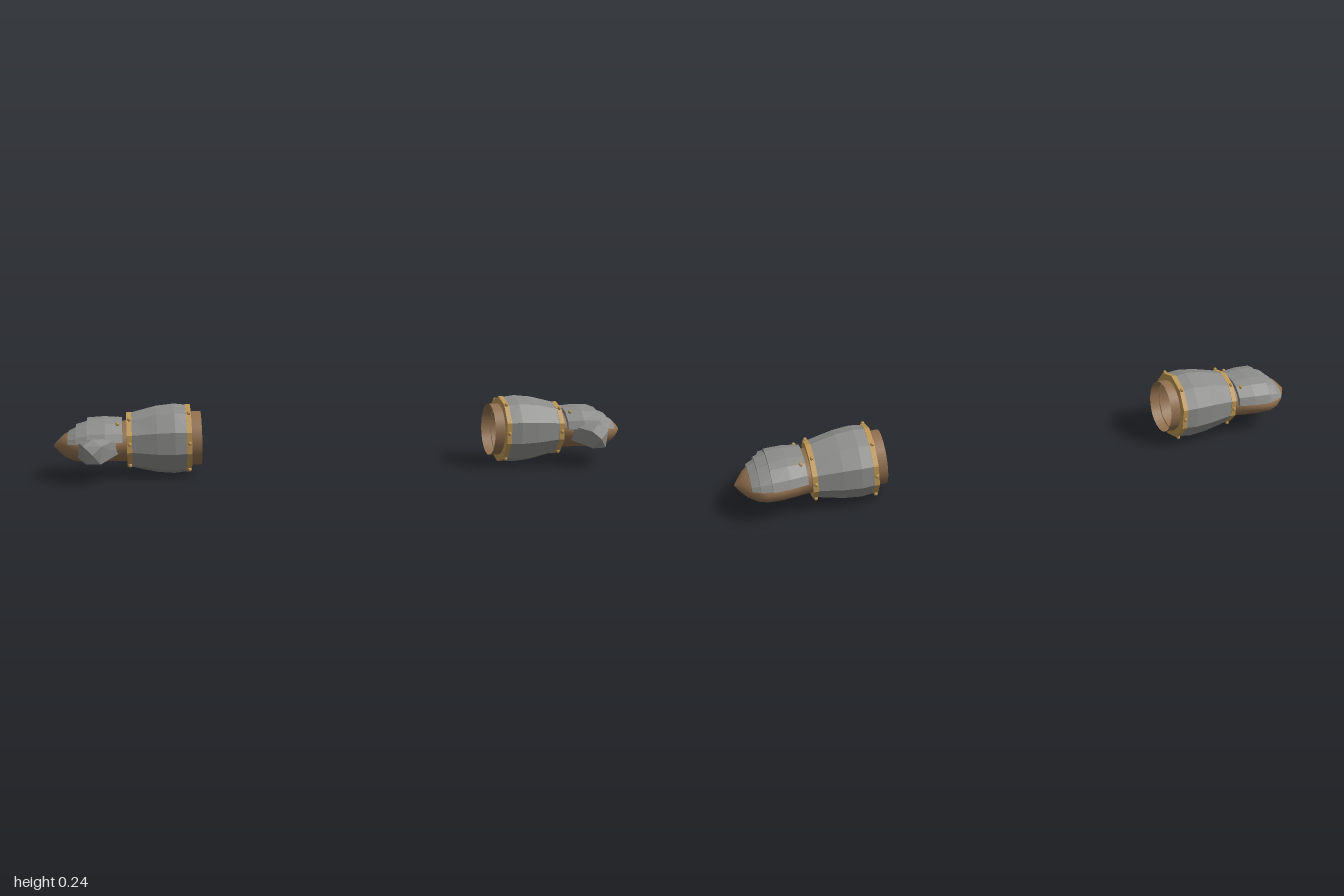
import * as THREE from 'three';
import { ConvexGeometry } from 'three/addons/geometries/ConvexGeometry.js';

const CZ = -0.022; // arm axis depth

// Skin closed rings (all the same length), optionally capped at both ends
function loft(rings, { smooth = false, caps = false } = {}) {
  const n = rings[0].length, pos = rings.flat(2), index = [];
  for (let i = 0; i < rings.length - 1; i++) {
    for (let j = 0; j < n; j++) {
      const a = i * n + j, b = i * n + (j + 1) % n;
      index.push(a, b, a + n, b, b + n, a + n);
    }
  }
  if (caps) {
    for (const [row, flip] of [[0, true], [rings.length - 1, false]]) {
      const c = pos.length / 3;
      for (let k = 0; k < 3; k++) pos.push(rings[row].reduce((s, p) => s + p[k], 0) / n);
      for (let j = 0; j < n; j++) {
        const a = row * n + j, b = row * n + (j + 1) % n;
        index.push(c, flip ? b : a, flip ? a : b);
      }
    }
  }
  let g = new THREE.BufferGeometry();
  g.setAttribute('position', new THREE.Float32BufferAttribute(pos, 3));
  g.setIndex(index);
  if (smooth) g.computeVertexNormals();
  g = g.toNonIndexed();
  if (!smooth) g.computeVertexNormals();
  return g;
}

// Elliptical ring around the arm axis
function ring(x, y, ry, rz, n) {
  return Array.from({ length: n }, (_, j) => {
    const a = (j / n) * Math.PI * 2;
    return [x, y + ry * Math.cos(a), CZ + rz * Math.sin(a)];
  });
}

// Faceted arch across the back of the hand
function arch(x, base, top, half) {
  const shape = [[-1, 0], [-0.9, 0.42], [-0.6, 0.85], [-0.3, 1], [0.3, 1], [0.6, 0.85], [0.9, 0.42], [1, 0]];
  return shape.map(([u, v]) => [x, base + (top - base) * v, CZ + u * half]);
}

// Mirror a geometry in x and restore its winding
function mirrored(geo) {
  const g = (geo.index ? geo.toNonIndexed() : geo.clone()).scale(-1, 1, 1);
  for (const a of Object.values(g.attributes)) {
    const s = a.itemSize;
    for (let i = 0; i < a.count; i += 3) {
      for (let k = 0; k < s; k++) {
        const p = (i + 1) * s + k, q = (i + 2) * s + k, t = a.array[p];
        a.array[p] = a.array[q];
        a.array[q] = t;
      }
    }
  }
  return g;
}

export function createModel() {
  const mat = (name, color, side = THREE.FrontSide) => {
    const m = new THREE.MeshStandardMaterial({ color, side });
    m.name = name;
    return m;
  };
  const leather = mat('leather', 0x91704f, THREE.DoubleSide);
  const steel = mat('steel', 0x8c8c8a);
  const brass = mat('brass', 0xbd9656);

  const model = new THREE.Group();
  model.name = 'gauntlets';
  const left = new THREE.Group(), right = new THREE.Group();
  left.name = 'leftGauntlet';
  right.name = 'rightGauntlet';
  model.add(left, right);

  // Every part goes on both gauntlets
  const add = (name, geo, material) => {
    for (const [group, g] of [[left, geo], [right, mirrored(geo)]]) {
      const mesh = new THREE.Mesh(g, material);
      mesh.name = name;
      group.add(mesh);
    }
  };

  // Leather glove: open sleeve running into a closed, pointed fist
  add('glove', loft([
    [0.51, 0.122, 0.092, 0.09], [0.6, 0.122, 0.09, 0.09], [0.7, 0.12, 0.076, 0.086],
    [0.76, 0.12, 0.069, 0.088], [0.81, 0.115, 0.062, 0.1], [0.86, 0.112, 0.059, 0.108],
    [0.905, 0.11, 0.056, 0.104], [0.935, 0.11, 0.051, 0.09], [0.965, 0.11, 0.037, 0.06],
    [0.985, 0.11, 0.018, 0.03], [1, 0.11, 0.001, 0.001],
  ].map(([x, y, ry, rz]) => ring(x, y, ry, rz, 24)), { smooth: true }), leather);

  // Ten-sided steel forearm guard
  add('forearmGuard', loft([
    [0.553, 0.114, 0.118], [0.6, 0.12, 0.121], [0.66, 0.114, 0.115], [0.752, 0.091, 0.1],
  ].map(([x, ry, rz]) => ring(x, 0.122, ry, rz, 10))), steel);

  // Brass bands closing both ends of the guard
  for (const [name, x0, x1, ry, rz, inner] of [
    ['elbowBand', 0.545, 0.562, 0.117, 0.12, 0.086],
    ['wristBand', 0.742, 0.759, 0.094, 0.104, 0.066],
  ]) {
    add(name, loft([
      ring(x0, 0.122, inner, inner, 10), ring(x0, 0.122, ry, rz, 10),
      ring(x1, 0.122, ry, rz, 10), ring(x1, 0.122, inner, inner, 10),
    ]), brass);
  }

  // Rivets on the bands
  const rivet = (x, y, z) => add('rivet', new THREE.SphereGeometry(0.007, 6, 4).translate(x, y, z), brass);
  for (const [x, ry, rz] of [[0.553, 0.119, 0.121], [0.75, 0.096, 0.105]]) {
    for (const deg of [36, 90, 144, 216, 270, 324]) {
      const a = THREE.MathUtils.degToRad(deg), k = deg % 180 === 90 ? 0.96 : 1;
      rivet(x, 0.122 + ry * Math.cos(a), CZ + rz * k * Math.sin(a));
    }
  }

  // Overlapping plates over the back of the hand, knuckles and fingers
  add('handPlate', loft([
    arch(0.773, 0.13, 0.195, 0.104), arch(0.83, 0.13, 0.2, 0.115), arch(0.888, 0.13, 0.197, 0.118),
  ], { caps: true }), steel);
  add('knucklePlate', loft([
    arch(0.88, 0.13, 0.188, 0.113), arch(0.925, 0.128, 0.176, 0.104),
  ], { caps: true }), steel);
  add('fingerPlate', loft([
    arch(0.92, 0.127, 0.169, 0.1), arch(0.951, 0.125, 0.155, 0.083),
  ], { caps: true }), steel);
  for (const u of [-0.066, 0.066]) rivet(0.788, 0.186, CZ + u);

  // Faceted thumb guard
  add('thumbGuard', new ConvexGeometry([
    [0.785, 0.14, 0.06], [0.785, 0.09, 0.06], [0.92, 0.135, 0.06], [0.92, 0.08, 0.06],
    [0.84, 0.128, 0.135], [0.9, 0.13, 0.132], [0.89, 0.07, 0.135], [0.845, 0.068, 0.13],
    [0.87, 0.102, 0.147], [0.87, 0.148, 0.108], [0.87, 0.065, 0.085],
  ].map((p) => new THREE.Vector3(...p))), steel);

  return model;
}
